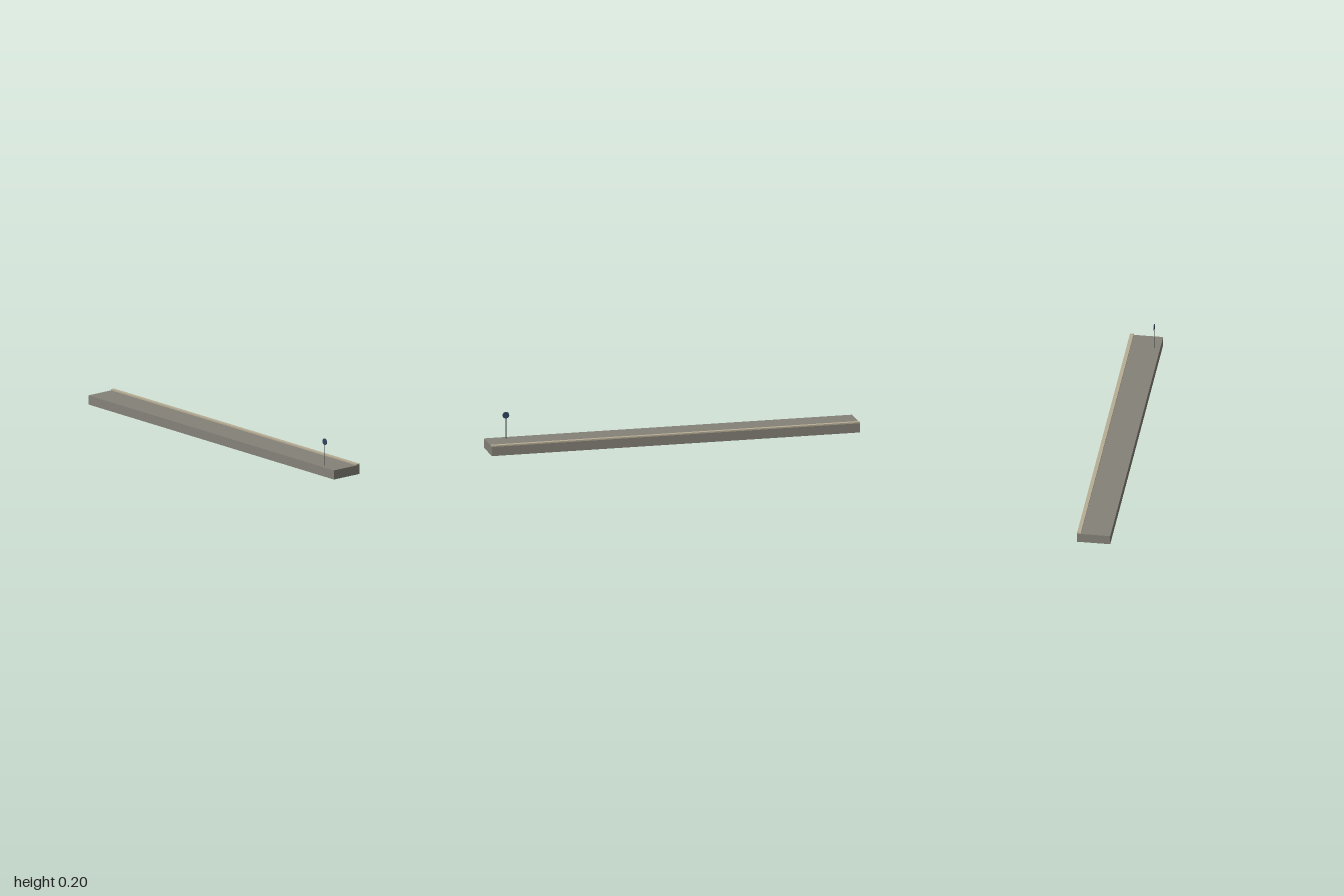
import * as THREE from 'three';

function material(name, color) {
  const m = new THREE.MeshStandardMaterial({ color });
  m.name = name;
  return m;
}

export function createModel() {
  const group = new THREE.Group();
  group.name = 'platform';
  const concrete = material('concrete grey', 0x858279);
  const edging = material('pale edging', 0xb8ae96);
  const metal = material('dark metal', 0x45474a);
  const blue = material('sign blue', 0x2f4661);

  function add(name, geometry, mat, x, y, z) {
    const mesh = new THREE.Mesh(geometry, mat);
    mesh.name = name;
    mesh.position.set(x, y, z);
    group.add(mesh);
    return mesh;
  }

  // Long slab with a raised strip along the back edge
  add('slab', new THREE.BoxGeometry(2, 0.05, 0.178), concrete, 0, 0.025, 0);
  add('edgeStrip', new THREE.BoxGeometry(2, 0.007, 0.02), edging, 0, 0.0535, -0.0775);

  // Round sign on a thin post
  const signX = 0.888, signZ = 0.057;
  add('signPost', new THREE.CylinderGeometry(0.002, 0.002, 0.125, 8), metal, signX, 0.1125, signZ);
  const disc = add('signDisc', new THREE.CylinderGeometry(0.018, 0.018, 0.0035, 16), blue, signX, 0.178, signZ);
  disc.rotation.x = Math.PI / 2;

  return group;
}
